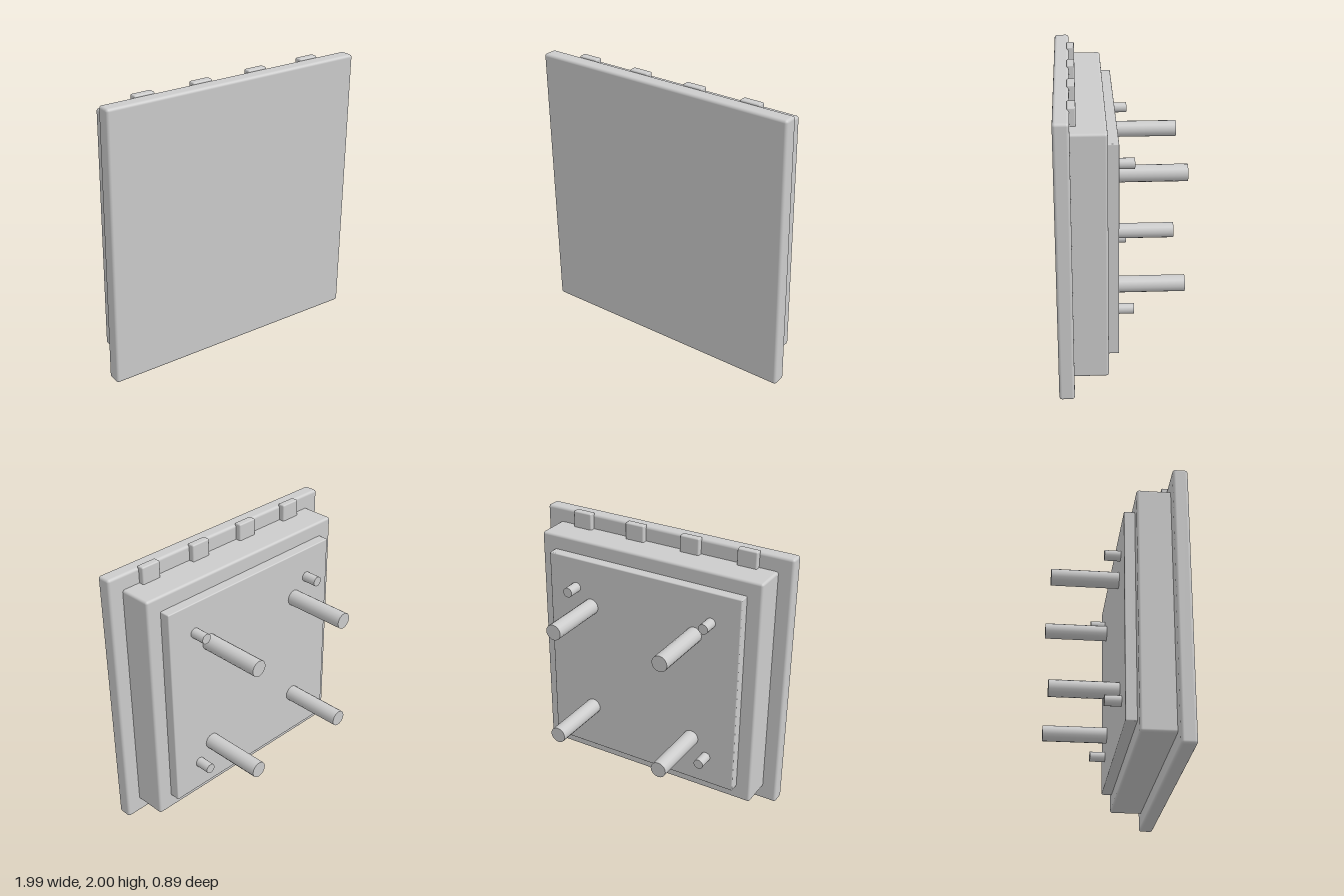
import * as THREE from 'three';
import { RoundedBoxGeometry } from 'three/addons/geometries/RoundedBoxGeometry.js';

const MID_Y = 0.995; // height of the panel centre

export function createModel() {
  const model = new THREE.Group();
  const material = new THREE.MeshStandardMaterial({ color: 0xcccccc });

  const add = (name, geometry, x, y, z) => {
    const mesh = new THREE.Mesh(geometry, material);
    mesh.name = name;
    mesh.position.set(x, y, z);
    model.add(mesh);
    return mesh;
  };

  // Softly rounded square slab spanning zBack..zFront
  const slab = (name, size, zBack, zFront, radius) =>
    add(name, new RoundedBoxGeometry(size, size, zFront - zBack, 3, radius),
      0, MID_Y, (zBack + zFront) / 2);

  slab('frontPlate', 1.985, 0.34, 0.445, 0.02);
  slab('housing', 1.765, 0.105, 0.37, 0.018);
  slab('backPlate', 1.545, 0.03, 0.13, 0.008);

  // Row of clips along the top, behind the front plate
  for (const x of [-0.665, -0.222, 0.222, 0.665]) {
    add('topClip', new RoundedBoxGeometry(0.15, 0.14, 0.055, 2, 0.01), x, 1.93, 0.3275);
  }

  // Round pin pointing backwards out of the back plate
  const pin = (name, radius, zEnd, x, y) => {
    const zStart = 0.05;
    const geometry = new THREE.CylinderGeometry(radius, radius, zStart - zEnd, 16);
    geometry.rotateX(Math.PI / 2);
    add(name, geometry, x, y, (zStart + zEnd) / 2);
  };

  // A long mounting post and a short locating pin near each corner
  for (const sx of [-1, 1]) {
    for (const sy of [-1, 1]) {
      pin('mountingPost', 0.059, -0.445, sx * 0.423, MID_Y + sy * 0.423);
      pin('locatingPin', 0.037, -0.083, sx * 0.548, MID_Y + sy * 0.548);
    }
  }

  return model;
}
